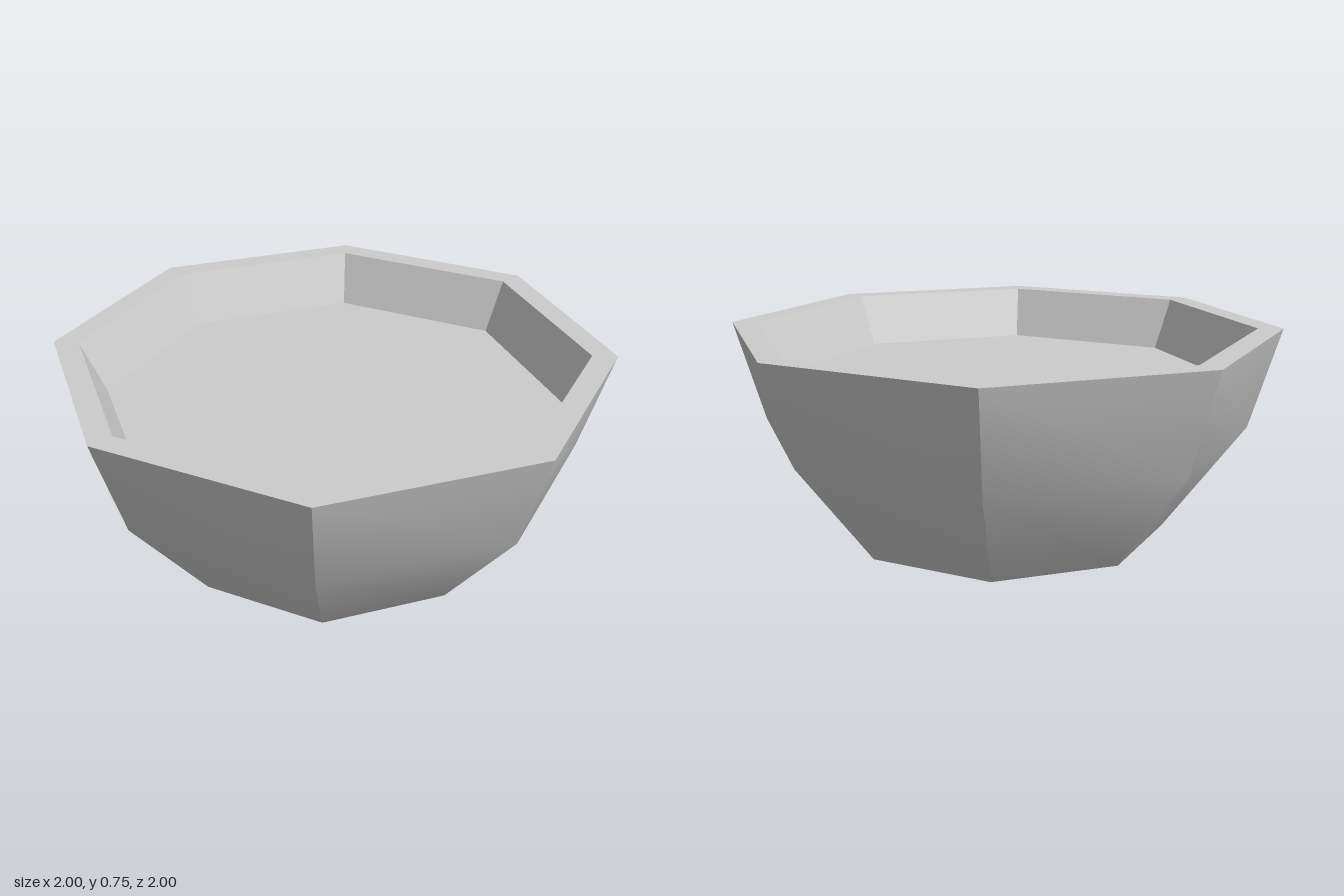
import * as THREE from 'three';
import { toCreasedNormals } from 'three/addons/utils/BufferGeometryUtils.js';

const SIDES = 8;

export function createModel() {
  const group = new THREE.Group();
  group.name = 'octagonalBowl';
  const material = new THREE.MeshStandardMaterial({ color: 0xcccccc });

  // Turn a [radius, height] profile into an eight-sided solid with sharp corners
  const addRing = (name, profile) => {
    const points = profile.map(([r, y]) => new THREE.Vector2(r, y));
    const geometry = toCreasedNormals(new THREE.LatheGeometry(points, SIDES), Math.PI / 6);
    const mesh = new THREE.Mesh(geometry, material);
    mesh.name = name;
    group.add(mesh);
  };

  // Underside, flared outer wall, flat rim and inner wall
  addRing('bowl', [[0, 0], [0.595, 0], [0.89, 0.385], [1, 0.75], [0.91, 0.75], [0.825, 0.56]]);

  // Flat surface of the contents, sunk below the rim
  addRing('contents', [[0.825, 0.56], [0, 0.56]]);

  return group;
}
